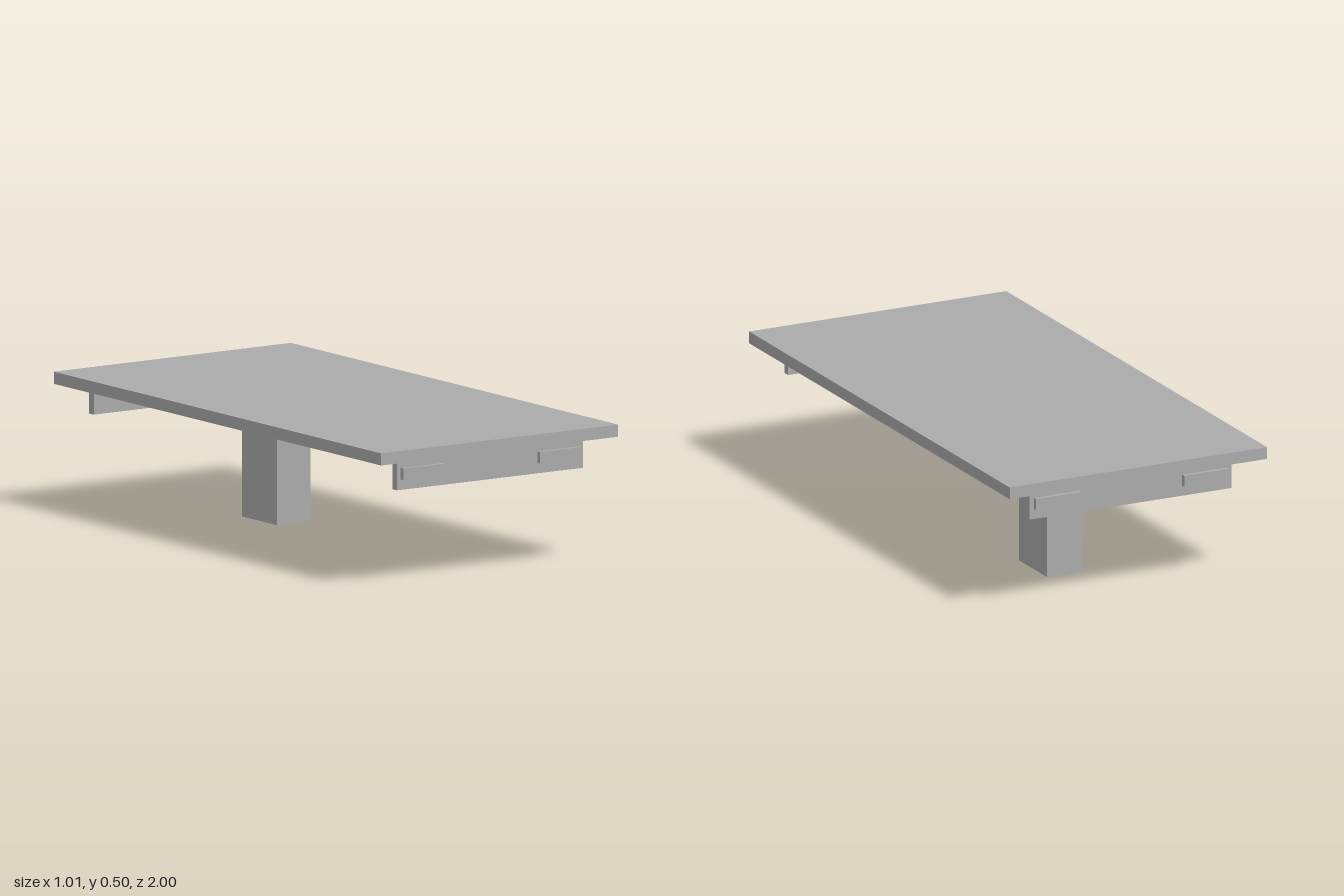
import * as THREE from 'three';

export function createModel() {
  const model = new THREE.Group();
  model.name = 'table';
  const grey = new THREE.MeshStandardMaterial({ color: 0xaaaaaa });
  grey.name = 'plain grey';

  // Box given by its minimum and maximum corners
  function box(name, [x0, y0, z0], [x1, y1, z1]) {
    const mesh = new THREE.Mesh(new THREE.BoxGeometry(x1 - x0, y1 - y0, z1 - z0), grey);
    mesh.name = name;
    mesh.position.set((x0 + x1) / 2, (y0 + y1) / 2, (z0 + z1) / 2);
    model.add(mesh);
  }

  // Top slab and the single off-centre leg
  box('tableTop', [-0.505, 0.46, -1], [0.505, 0.503, 1]);
  box('leg', [0, 0, -0.575], [0.142, 0.46, -0.36]);

  // An end panel with two raised grips at the front and the back
  for (const [end, side] of [['front', 1], ['back', -1]]) {
    const span = (a, b) => [a * side, b * side].sort((p, q) => p - q);
    const [p0, p1] = span(0.912, 0.94);
    box(end + 'Panel', [-0.396, 0.352, p0], [0.396, 0.46, p1]);
    const [g0, g1] = span(0.94, 0.957);
    box(end + 'RightGrip', [-0.38, 0.389, g0], [-0.202, 0.43, g1]);
    box(end + 'LeftGrip', [0.202, 0.389, g0], [0.38, 0.43, g1]);
  }
  return model;
}
